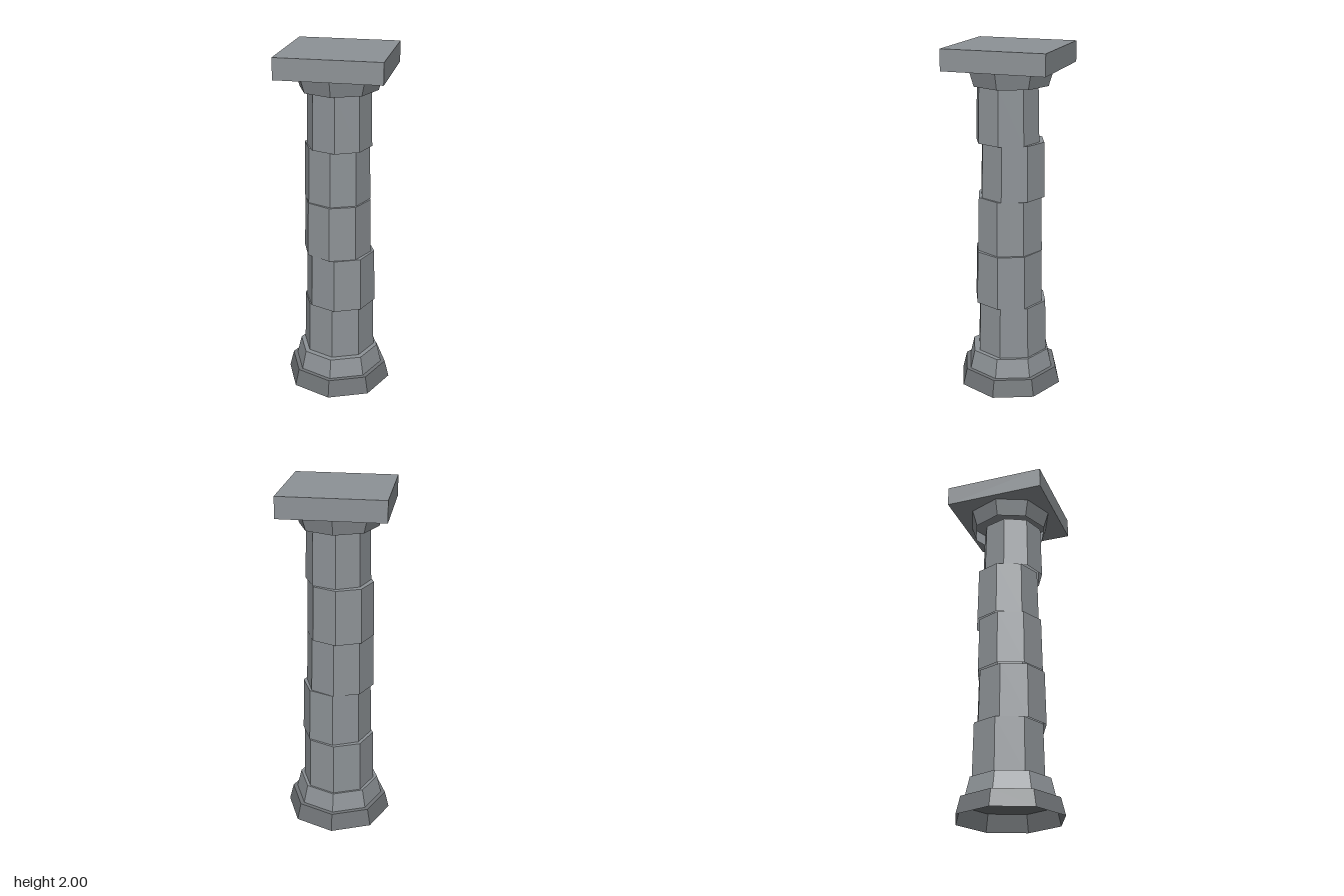
import * as THREE from 'three';

export function createModel() {
  const group = new THREE.Group();
  group.name = 'column';
  const stone = new THREE.MeshStandardMaterial({ color: 0x8d9296, flatShading: true, side: THREE.DoubleSide });
  const darkStone = stone.clone();
  darkStone.color.set(0x707477);

  // One eight-sided tapering block: walls and a top, hollow underneath
  function block(name, material, y0, y1, rBottom, rTop, x = 0, z = 0, turn = 0) {
    const profile = [[rBottom, 0], [rTop, y1 - y0], [0, y1 - y0]].map(([r, y]) => new THREE.Vector2(r, y));
    const mesh = new THREE.Mesh(new THREE.LatheGeometry(profile, 8), material);
    mesh.name = name;
    mesh.position.set(x, y0, z);
    mesh.rotation.y = turn;
    group.add(mesh);
  }

  // Stepped base
  block('plinth', darkStone, 0, 0.1, 0.311, 0.286);
  block('baseMoulding', stone, 0.1, 0.21, 0.261, 0.235);

  // Shaft drums, each slightly shifted and turned: rBottom, rTop, x, z, turn
  const drums = [
    [0.212, 0.206, 0, -0.011, 0],
    [0.204, 0.198, 0.012, 0.006, 0.02],
    [0.198, 0.192, -0.006, 0.005, -0.04],
    [0.192, 0.186, -0.011, -0.01, 0],
    [0.184, 0.177, 0.006, 0.015, 0.06],
  ];
  const levels = [0.21, 0.52, 0.835, 1.153, 1.47, 1.786];
  drums.forEach((d, i) => block(`shaftDrum${i + 1}`, stone, levels[i], levels[i + 1], ...d));

  // Flaring capital and square slab
  block('capital', stone, 1.786, 1.882, 0.22, 0.25);
  const slab = new THREE.Mesh(new THREE.BoxGeometry(0.583, 0.118, 0.583), stone);
  slab.name = 'topSlab';
  slab.position.y = 1.941;
  group.add(slab);

  return group;
}
